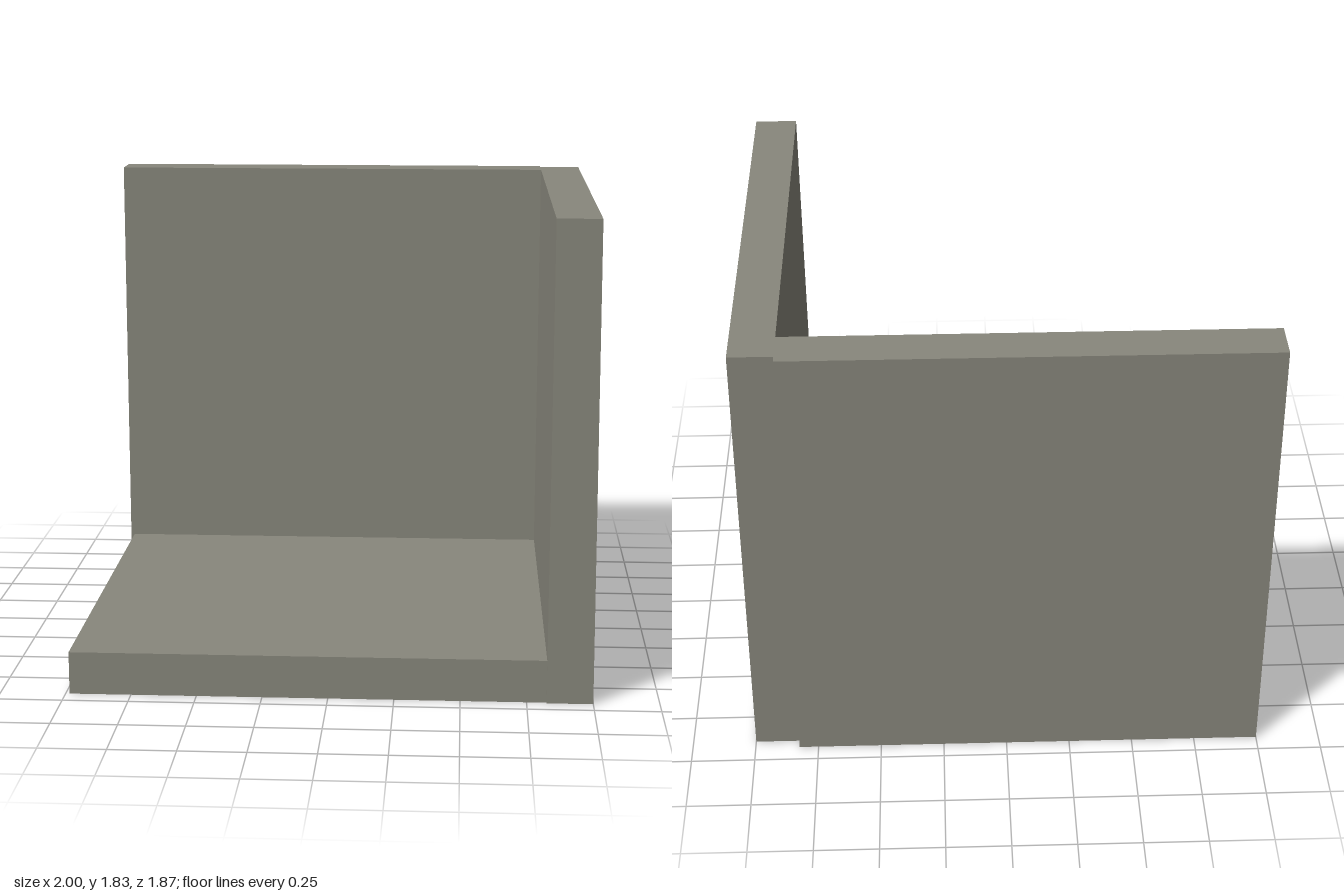
import * as THREE from 'three';

const stone = new THREE.MeshStandardMaterial({ color: 0x88877c });
stone.name = 'warm grey';

// Box given by its minimum and maximum corners
function slab(name, min, max) {
  const size = max.map((v, i) => v - min[i]);
  const geometry = new THREE.BoxGeometry(...size);
  geometry.translate(...min.map((v, i) => v + size[i] / 2));
  const mesh = new THREE.Mesh(geometry, stone);
  mesh.name = name;
  return mesh;
}

// Shift the top corners on one outer face so the wall leans in slightly
function leanOuterFace(mesh, axis, outer, shift) {
  const p = mesh.geometry.attributes.position;
  for (let i = 0; i < p.count; i++) {
    const v = p.getComponent(i, axis);
    if (p.getY(i) > 1 && Math.abs(v - outer) < 1e-4) p.setComponent(i, axis, v + shift);
  }
  mesh.geometry.computeVertexNormals();
  return mesh;
}

export function createModel() {
  const group = new THREE.Group();
  group.name = 'openCorner';

  // Floor slab, stopping just inside the outer wall faces
  group.add(slab('floor', [-0.985, 0, -0.89], [0.9, 0.165, 0.925]));

  // Back wall, butting against the side wall
  const back = slab('backWall', [-1, 0.003, -0.935], [0.825, 1.83, -0.765]);
  group.add(leanOuterFace(back, 2, -0.935, 0.008));

  // Side wall, set in a little at the rear corner
  const side = slab('sideWall', [0.825, 0, -0.895], [1, 1.83, 0.932]);
  group.add(leanOuterFace(side, 0, 1, -0.008));

  return group;
}
